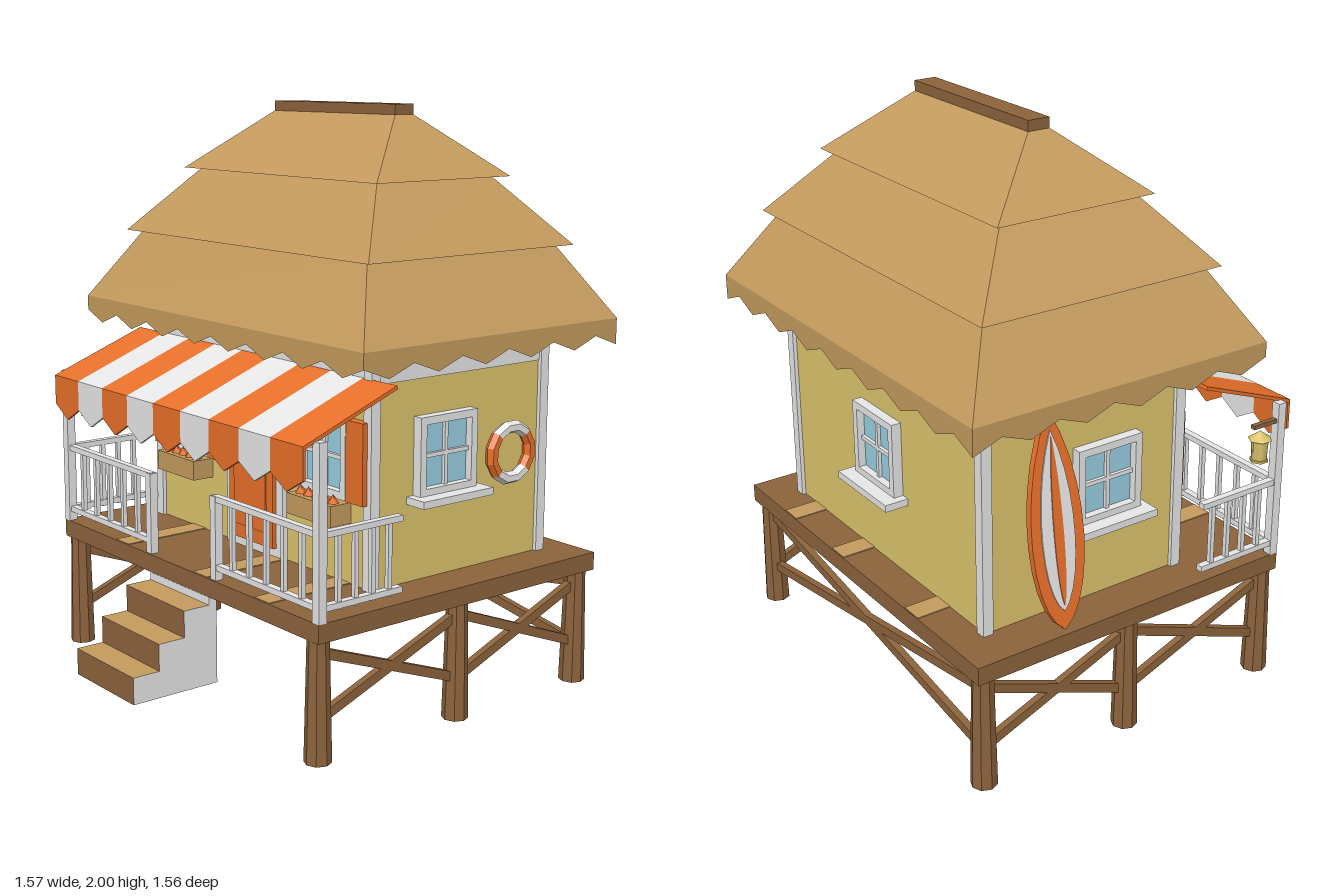
import * as THREE from 'three';

const mat = (name, color) => {
  const m = new THREE.MeshStandardMaterial({ color, side: THREE.DoubleSide });
  m.name = name;
  return m;
};

export function createModel() {
  const white = mat('white paint', 0xe8e8e8), thatch = mat('thatch', 0xc49b5e);
  const yellow = mat('yellow wall', 0xdcc46c), wood = mat('brown wood', 0x8c633c);
  const orange = mat('orange', 0xe8702a), glass = mat('window glass', 0x98cfe0);
  const dark = mat('dark metal', 0x4a3826);

  const root = new THREE.Group();
  root.name = 'beachHut';
  const add = (name, geo, m, x = 0, y = 0, z = 0, parent = root) => {
    const mesh = new THREE.Mesh(geo, m);
    mesh.name = name;
    mesh.position.set(x, y, z);
    parent.add(mesh);
    return mesh;
  };
  // box given by its limits
  const box = (name, m, x0, x1, y0, y1, z0, z1, parent) =>
    add(name, new THREE.BoxGeometry(x1 - x0, y1 - y0, z1 - z0), m,
      (x0 + x1) / 2, (y0 + y1) / 2, (z0 + z1) / 2, parent);
  // straight bar between two points
  const beam = (name, m, a, b, w, h) => {
    const p = new THREE.Vector3(...a), q = new THREE.Vector3(...b);
    const mesh = add(name, new THREE.BoxGeometry(w, h, p.distanceTo(q)), m);
    mesh.position.copy(p).add(q).multiplyScalar(0.5);
    mesh.lookAt(q);
    return mesh;
  };

  // deck with a few lighter planks
  box('deck', wood, -0.75, 0.75, 0.403, 0.466, -0.75, 0.48);
  for (const x of [-0.36, 0.12, 0.46]) box('lightPlank', thatch, x - 0.04, x + 0.04, 0.464, 0.469, -0.748, 0.478);

  // stilts and cross braces
  const legZ = [0.445, -0.14, -0.705], lo = 0.14, hi = 0.36;
  for (const s of [-1, 1]) {
    for (const z of legZ)
      add('stilt', new THREE.CylinderGeometry(0.036, 0.045, 0.405, 8).toNonIndexed(), wood, s * 0.705, 0.2025, z).geometry.computeVertexNormals();
    for (let i = 0; i < 2; i++) {
      beam('sideBrace', wood, [s * 0.705, lo, legZ[i]], [s * 0.705, hi, legZ[i + 1]], 0.025, 0.032);
      beam('sideBrace', wood, [s * 0.705, hi, legZ[i]], [s * 0.705, lo, legZ[i + 1]], 0.025, 0.032);
    }
    beam('backBrace', wood, [-0.7, s > 0 ? lo : hi, -0.705], [0.7, s > 0 ? hi : lo, -0.705], 0.025, 0.032);
  }

  // stairs: white sides, tan treads, brown risers
  for (let i = 0; i < 3; i++)
    add('step', new THREE.BoxGeometry(0.35, 0.092 * (3 - i), 0.1), [white, white, thatch, white, wood, white],
      0, 0.1 + 0.046 * (3 - i), 0.53 + 0.1 * i);
  box('stairTop', white, -0.175, 0.175, 0.1, 0.403, 0.45, 0.481);

  // cabin
  box('walls', yellow, -0.6, 0.6, 0.466, 1.29, -0.625, 0.145);
  box('wallBand', white, -0.604, 0.604, 1.14, 1.29, -0.629, 0.149);
  for (const x of [-0.595, 0.595]) for (const z of [-0.62, 0.14])
    box('cornerPost', white, x - 0.019, x + 0.019, 0.466, 1.29, z - 0.019, z + 0.019);

  // window facing +z, origin at its centre on the wall
  const makeWindow = (name, x, y, z, turn, sill = true) => {
    const g = new THREE.Group();
    g.name = name;
    g.position.set(x, y, z);
    g.rotation.y = turn;
    root.add(g);
    box('glass', glass, -0.11, 0.11, -0.12, 0.12, 0, 0.008, g);
    for (const s of [-1, 1]) {
      add('frameSide', new THREE.BoxGeometry(0.026, 0.265, 0.035), white, s * 0.113, 0, 0.0175, g);
      add('frameBar', new THREE.BoxGeometry(0.25, 0.026, 0.035), white, 0, s * 0.12, 0.0175, g);
    }
    add('mullion', new THREE.BoxGeometry(0.014, 0.24, 0.02), white, 0, 0, 0.01, g);
    add('crossbar', new THREE.BoxGeometry(0.22, 0.014, 0.02), white, 0, 0, 0.01, g);
    if (sill) box('sill', white, -0.155, 0.155, -0.155, -0.13, 0, 0.085, g);
    return g;
  };
  makeWindow('leftWindow', 0.6, 0.885, -0.16, Math.PI / 2);
  makeWindow('rightWindow', -0.6, 0.885, -0.16, -Math.PI / 2);
  makeWindow('backWindow', 0, 0.885, -0.625, Math.PI);
  for (const s of [-1, 1]) {
    const g = makeWindow('frontWindow', s * 0.385, 0.885, 0.145, 0, false);
    for (const t of [-1, 1]) box('shutter', orange, t * 0.168 - 0.042, t * 0.168 + 0.042, -0.135, 0.135, 0, 0.033, g);
    box('planter', thatch, -0.115, 0.115, -0.215, -0.145, 0, 0.085, g);
    for (let i = -2; i <= 2; i++)
      add('flower', new THREE.ConeGeometry(0.02, 0.03, 5), orange, i * 0.042, -0.13, 0.05, g);
  }

  // door
  box('doorFrame', white, -0.16, 0.16, 0.466, 1.13, 0.145, 0.162);
  box('door', orange, -0.125, 0.125, 0.5, 1.1, 0.145, 0.178);
  for (const y of [0.66, 0.95]) box('doorPanel', orange, -0.09, 0.09, y - 0.11, y + 0.11, 0.175, 0.184);
  box('doorKnob', dark, 0.09, 0.113, 0.795, 0.818, 0.175, 0.195);

  // thatched roof in tiers [bottom half x, half z, y, top half x, half z, y]
  const roofZ = -0.22;
  const tiers = [
    [0.785, 0.56, 1.29, 0.62, 0.408, 1.545],
    [0.677, 0.452, 1.535, 0.475, 0.245, 1.77],
    [0.53, 0.295, 1.762, 0.325, 0.04, 1.965]];
  for (const [bx, bz, y0, tx, tz, y1] of tiers) {
    const geo = new THREE.BoxGeometry(2, 2, 2), p = geo.attributes.position;
    for (let i = 0; i < p.count; i++) {
      const top = p.getY(i) > 0;
      p.setXYZ(i, p.getX(i) * (top ? tx : bx), top ? y1 : y0, p.getZ(i) * (top ? tz : bz));
    }
    geo.computeVertexNormals();
    add('thatchTier', geo, thatch, 0, 0, roofZ);
  }
  box('ridgeCap', wood, -0.325, 0.325, 1.96, 2, roofZ - 0.04, roofZ + 0.04);

  // zigzag eave running once around the roof
  const corners = [[-0.785, 0.56], [0.785, 0.56], [0.785, -0.56], [-0.785, -0.56]];
  const eave = [];
  let n = 0;
  corners.forEach(([x0, z0], c) => {
    const [x1, z1] = corners[(c + 1) % 4], steps = c % 2 ? 11 : 16;
    for (let i = 0; i < steps; i++, n++) {
      const at = (t) => [x0 + (x1 - x0) * t / steps, z0 + (z1 - z0) * t / steps];
      const [ax, az] = at(i), [bx, bz] = at(i + 1);
      const ya = n % 2 ? 1.2 : 1.238, yb = n % 2 ? 1.238 : 1.2;
      eave.push(ax, ya, az, bx, yb, bz, bx, 1.29, bz, ax, ya, az, bx, 1.29, bz, ax, 1.29, az);
    }
  });
  const eaveGeo = new THREE.BufferGeometry();
  eaveGeo.setAttribute('position', new THREE.Float32BufferAttribute(eave, 3));
  eaveGeo.computeVertexNormals();
  add('eave', eaveGeo, thatch, 0, 0, roofZ);

  // striped awning with pointed valance
  const sw = 1.45 / 9;
  for (let i = 0; i < 9; i++) {
    const x = (i - 4) * sw, m = i % 2 ? white : orange;
    beam('awningStripe', m, [x, 1.155, 0.15], [x, 1.015, 0.52], sw, 0.012);
    const flap = new THREE.Shape([[-sw / 2, 1.02], [-sw / 2, 0.915], [0, 0.868], [sw / 2, 0.915], [sw / 2, 1.02]]
      .map(([a, b]) => new THREE.Vector2(a, b)));
    add('valance', new THREE.ExtrudeGeometry(flap, { depth: 0.01, bevelEnabled: false }), m, x, 0, 0.512);
  }

  // porch posts and railings
  for (const s of [-1, 1]) {
    add('porchPost', new THREE.BoxGeometry(0.032, 0.565, 0.032), white, s * 0.735, 0.748, 0.464);
    add('gatePost', new THREE.BoxGeometry(0.03, 0.285, 0.03), white, s * 0.192, 0.608, 0.46);
    for (const y of [0.51, 0.742]) {
      beam('frontRail', white, [s * 0.185, y, 0.46], [s * 0.735, y, 0.46], 0.025, 0.02);
      beam('sideRail', white, [s * 0.735, y, 0.46], [s * 0.735, y, 0.14], 0.025, 0.02);
    }
    for (let i = 1; i <= 5; i++)
      add('baluster', new THREE.BoxGeometry(0.016, 0.25, 0.016), white, s * (0.192 + i * 0.0905), 0.62, 0.46);
    for (let i = 1; i <= 4; i++)
      add('baluster', new THREE.BoxGeometry(0.016, 0.25, 0.016), white, s * 0.735, 0.62, 0.46 - i * 0.068);
  }

  // life ring on the left wall
  const ring = new THREE.Group();
  ring.name = 'lifeRing';
  ring.position.set(0.622, 0.842, -0.455);
  ring.rotation.y = Math.PI / 2;
  root.add(ring);
  for (let i = 0; i < 4; i++) {
    const arc = new THREE.TorusGeometry(0.09, 0.022, 6, 3, Math.PI / 2).toNonIndexed();
    arc.computeVertexNormals();
    add('ringQuarter', arc, i % 2 ? white : orange, 0, 0, 0, ring).rotation.z = (i - 0.5) * Math.PI / 2;
  }

  // surfboard leaning on the right wall
  const board = new THREE.Group();
  board.name = 'surfboard';
  board.position.set(-0.675, 0.835, -0.41);
  board.rotation.set(0, -Math.PI / 2, 0);
  board.rotateX(-0.14);
  root.add(board);
  const leaf = (name, m, w, h, z, depth) => {
    const sh = new THREE.Shape();
    sh.moveTo(0, -h);
    sh.bezierCurveTo(w, -h * 0.8, w * 1.2, h * 0.3, 0, h);
    sh.bezierCurveTo(-w * 1.2, h * 0.3, -w, -h * 0.8, 0, -h);
    add(name, new THREE.ExtrudeGeometry(sh, { depth, bevelEnabled: false, curveSegments: 10 }), m, 0, 0, z, board);
  };
  leaf('boardBody', orange, 0.12, 0.365, -0.012, 0.024);
  leaf('boardFace', white, 0.075, 0.3, 0.012, 0.004);
  leaf('boardStripe', orange, 0.022, 0.28, 0.016, 0.003);

  // lantern hanging from the right porch post
  const lx = -0.75;
  beam('lanternBracket', wood, [lx + 0.015, 0.968, 0.45], [lx + 0.015, 0.968, 0.35], 0.018, 0.014);
  add('lanternGlass', new THREE.CylinderGeometry(0.03, 0.026, 0.075, 6), yellow, lx, 0.89, 0.37);
  add('lanternCap', new THREE.ConeGeometry(0.042, 0.03, 6), yellow, lx, 0.942, 0.37);
  add('lanternBase', new THREE.CylinderGeometry(0.032, 0.032, 0.008, 6), yellow, lx, 0.852, 0.37);

  return root;
}
